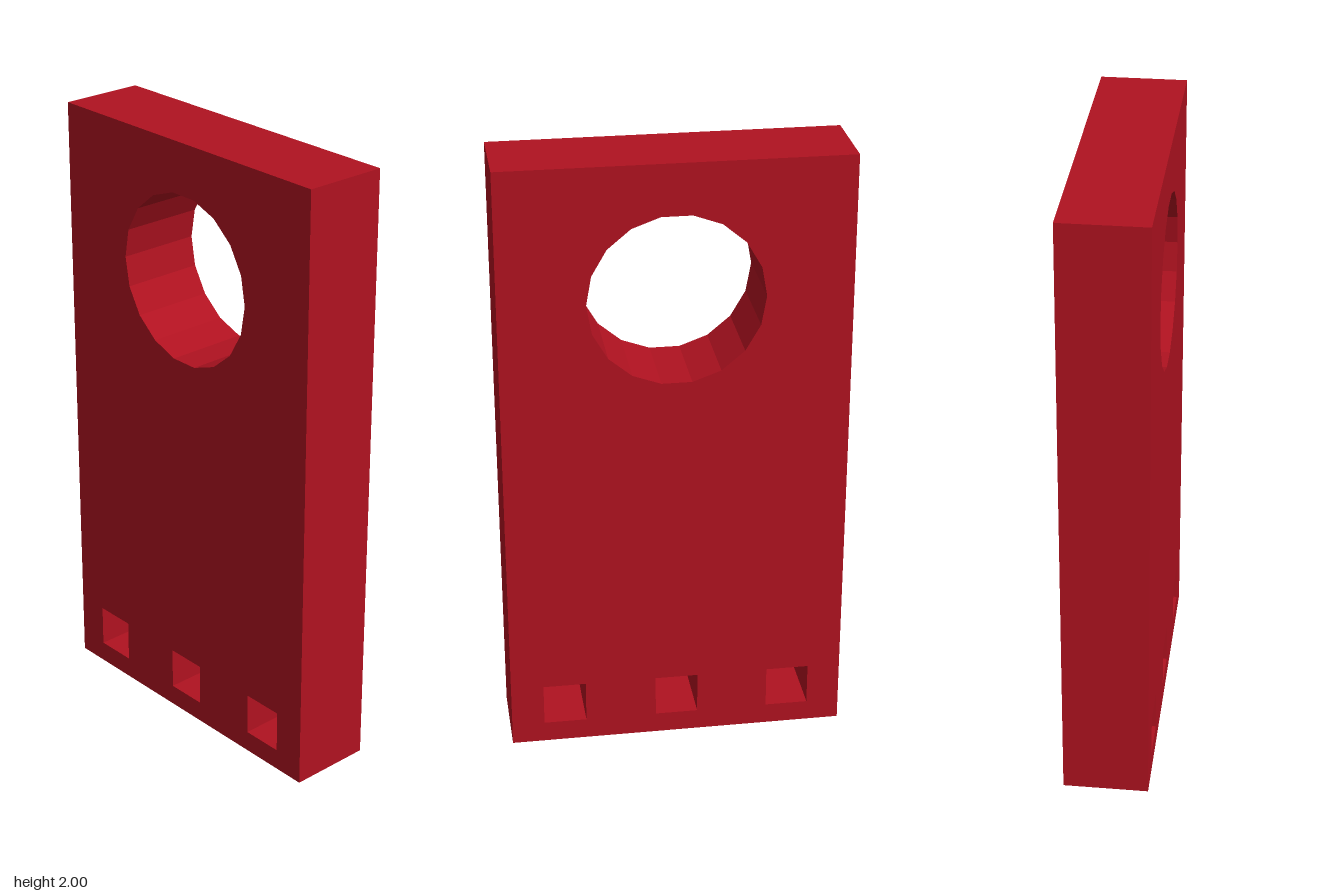
import * as THREE from 'three';

const HEIGHT = 2, DEPTH = 1.1, THICKNESS = 0.275;

// Closed regular polygon, first corner at the given angle
function polygonHole(cx, cy, radius, sides, start = 0) {
  const points = [];
  for (let i = 0; i < sides; i++) {
    const a = start - (i / sides) * Math.PI * 2;
    points.push(new THREE.Vector2(cx + radius * Math.cos(a), cy + radius * Math.sin(a)));
  }
  return new THREE.Path(points).closePath();
}

export function createModel() {
  const group = new THREE.Group();
  group.name = 'perforatedPlate';

  // Slab outline
  const d = DEPTH / 2;
  const outline = new THREE.Shape([
    new THREE.Vector2(-d, 0), new THREE.Vector2(d, 0),
    new THREE.Vector2(d, HEIGHT), new THREE.Vector2(-d, HEIGHT),
  ]);

  // Large 18-sided opening near the top
  outline.holes.push(polygonHole(0, 1.56, 0.278, 18));

  // Row of three square openings along the bottom
  for (const x of [-0.373, 0, 0.373]) {
    outline.holes.push(polygonHole(x, 0.14, 0.07 * Math.SQRT2, 4, Math.PI / 4));
  }

  // Extrude, centre the thickness, then turn the broad faces to the sides
  const geometry = new THREE.ExtrudeGeometry(outline, { depth: THICKNESS, bevelEnabled: false });
  geometry.translate(0, 0, -THICKNESS / 2);
  geometry.rotateY(Math.PI / 2);

  const plate = new THREE.Mesh(
    geometry,
    new THREE.MeshStandardMaterial({ color: 0xb01220, flatShading: true })
  );
  plate.name = 'plate';
  group.add(plate);
  return group;
}
